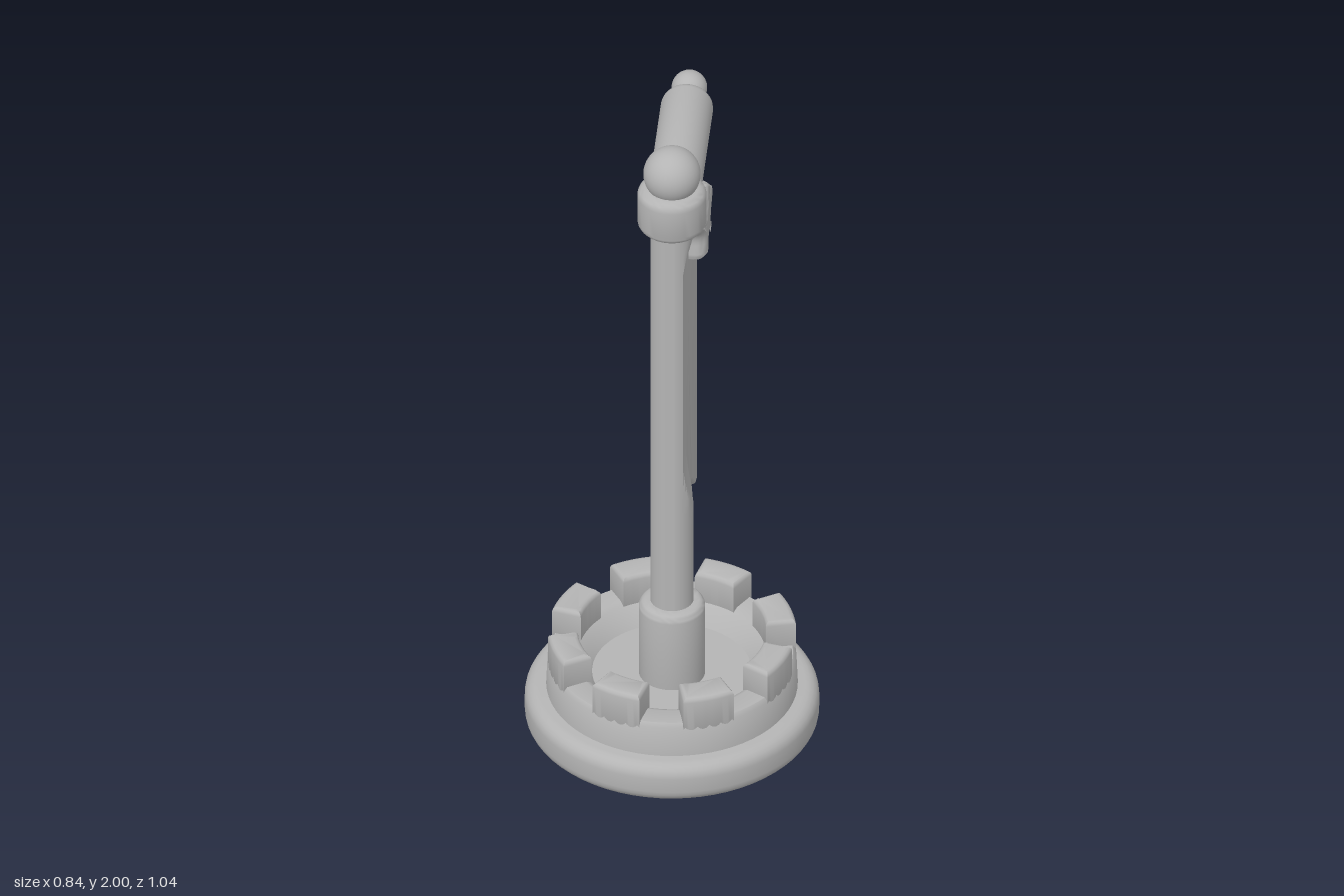
import * as THREE from 'three';
import { toCreasedNormals } from 'three/addons/utils/BufferGeometryUtils.js';

const stone = new THREE.MeshStandardMaterial({ color: 0xb4b4b4 });
stone.name = 'plain grey';

const AXIS_Z = 0.1; // the pole and base stand forward of the centre

function add(parent, name, geometry, x = 0, y = 0, z = 0) {
  const mesh = new THREE.Mesh(geometry, stone);
  mesh.name = name;
  mesh.position.set(x, y, z);
  parent.add(mesh);
  return mesh;
}

// Turned solid from [radius, height] pairs, listed from the bottom up
function turned(points, segments = 64) {
  const profile = points.map(([r, y]) => new THREE.Vector2(r, y));
  return toCreasedNormals(new THREE.LatheGeometry(profile, segments), 0.7);
}

// Cylinder profile with rounded rims
function roundedProfile(radius, y0, y1, rim, steps = 5) {
  const points = [[0, y0]];
  for (const [cy, start] of [[y0 + rim, -Math.PI / 2], [y1 - rim, 0]]) {
    for (let i = 0; i <= steps; i++) {
      const a = start + (i / steps) * Math.PI / 2;
      points.push([radius - rim + rim * Math.cos(a), cy + rim * Math.sin(a)]);
    }
  }
  points.push([0, y1]);
  return points;
}

// Extruded outline lying in the z-y plane, centred on x = 0
function sidePlate(shape, depth, bevelThickness, bevelSize, bevelSegments) {
  const g = new THREE.ExtrudeGeometry(shape, {
    depth, bevelEnabled: true, bevelThickness, bevelSize,
    bevelOffset: -bevelSize, bevelSegments, curveSegments: 6,
  });
  g.translate(0, 0, -depth / 2);
  g.rotateY(-Math.PI / 2);
  return toCreasedNormals(g, 0.8);
}

// Closed outline with each corner softened by a curve
function softOutline(corners, softness) {
  const pts = corners.map(([x, y]) => new THREE.Vector2(x, y));
  const shape = new THREE.Shape();
  pts.forEach((p, i) => {
    const prev = pts[(i + pts.length - 1) % pts.length];
    const next = pts[(i + 1) % pts.length];
    const a = p.clone().add(prev.clone().sub(p).setLength(softness));
    const b = p.clone().add(next.clone().sub(p).setLength(softness));
    if (i === 0) shape.moveTo(a.x, a.y);
    else shape.lineTo(a.x, a.y);
    shape.quadraticCurveTo(p.x, p.y, b.x, b.y);
  });
  shape.closePath();
  return shape;
}

function buildBase() {
  const base = new THREE.Group();
  base.name = 'base';
  add(base, 'plinth', turned(roundedProfile(0.42, 0, 0.125, 0.04)));

  // Ring wall with a sloping inside and a sunken floor
  add(base, 'ringWall', turned([
    [0.36, 0.1], [0.355, 0.22], [0.345, 0.232], [0.285, 0.232],
    [0.27, 0.225], [0.228, 0.165], [0.222, 0.165], [0, 0.165],
  ]));

  // Eight battlements around the ring
  const half = 0.215, inner = 0.268, outer = 0.355;
  const block = new THREE.Shape();
  block.absarc(0, 0, outer, -half, half, false);
  block.absarc(0, 0, inner, half * 1.1, -half * 1.1, true);
  block.closePath();
  const geometry = new THREE.ExtrudeGeometry(block, {
    depth: 0.13, bevelThickness: 0.015, bevelSize: 0.015,
    bevelOffset: -0.015, bevelSegments: 3, curveSegments: 8,
  });
  geometry.rotateX(-Math.PI / 2);
  const merlon = toCreasedNormals(geometry, 0.8);
  for (let i = 0; i < 8; i++) {
    add(base, 'battlement', merlon, 0, 0.175, 0).rotation.y = (i + 0.5) * Math.PI / 4;
  }
  return base;
}

function buildPole() {
  const pole = new THREE.Group();
  pole.name = 'pole';

  // Shaft, shaved flat on its left side over most of its height
  const shaft = new THREE.CylinderGeometry(0.062, 0.062, 1.45, 40, 29);
  shaft.translate(0, 1.075, 0);
  const p = shaft.attributes.position;
  for (let i = 0; i < p.count; i++) {
    const y = p.getY(i);
    const shave = THREE.MathUtils.smoothstep(y, 0.74, 0.9)
      * (1 - THREE.MathUtils.smoothstep(y, 1.6, 1.72));
    p.setX(i, Math.min(p.getX(i), 0.062 - 0.025 * shave));
  }
  shaft.computeVertexNormals();
  add(pole, 'shaft', toCreasedNormals(shaft, 0.6));

  add(pole, 'footCollar', turned(roundedProfile(0.095, 0.14, 0.42, 0.025), 40));
  add(pole, 'topCollar', turned(roundedProfile(0.099, 1.73, 1.875, 0.03), 40));
  add(pole, 'finial', new THREE.SphereGeometry(0.082, 32, 24), 0, 1.918, 0);
  return pole;
}

function buildBanner() {
  const banner = new THREE.Group();
  banner.name = 'banner';

  // Hanging cloth with a swallowtail bottom
  const cloth = softOutline([
    [-0.425, 1.79], [-0.425, 0.46], [-0.37, 0.48], [-0.222, 0.605],
    [-0.075, 0.48], [-0.018, 0.46], [-0.014, 1.79],
  ], 0.022);
  add(banner, 'cloth', sidePlate(cloth, 0.03, 0.012, 0.012, 3));

  // Thick roll of cloth around the crossbar
  const roll = turned(roundedProfile(0.075, 0, 0.425, 0.035), 40);
  roll.rotateX(-Math.PI / 2);
  add(banner, 'topRoll', roll, 0, 1.796, 0);

  const bar = new THREE.CylinderGeometry(0.03, 0.03, 0.53, 24);
  bar.rotateX(Math.PI / 2);
  add(banner, 'crossbar', bar, 0, 1.806, -0.205);
  add(banner, 'barKnob', new THREE.SphereGeometry(0.051, 28, 20), 0, 1.808, -0.472);

  // Puffy star standing out on both faces of the cloth
  const corners = [];
  for (let i = 0; i < 10; i++) {
    const r = i % 2 ? 0.073 : 0.138;
    const a = Math.PI / 2 + i * Math.PI / 5;
    corners.push([r * Math.cos(a), r * Math.sin(a)]);
  }
  const star = sidePlate(softOutline(corners, 0.03), 0.09, 0.035, 0.035, 6);
  add(banner, 'star', star, 0, 1.543, -0.215);
  return banner;
}

export function createModel() {
  const model = new THREE.Group();
  model.name = 'bannerPole';
  const base = buildBase();
  const pole = buildPole();
  base.position.z = pole.position.z = AXIS_Z;
  model.add(base, pole, buildBanner());
  return model;
}
